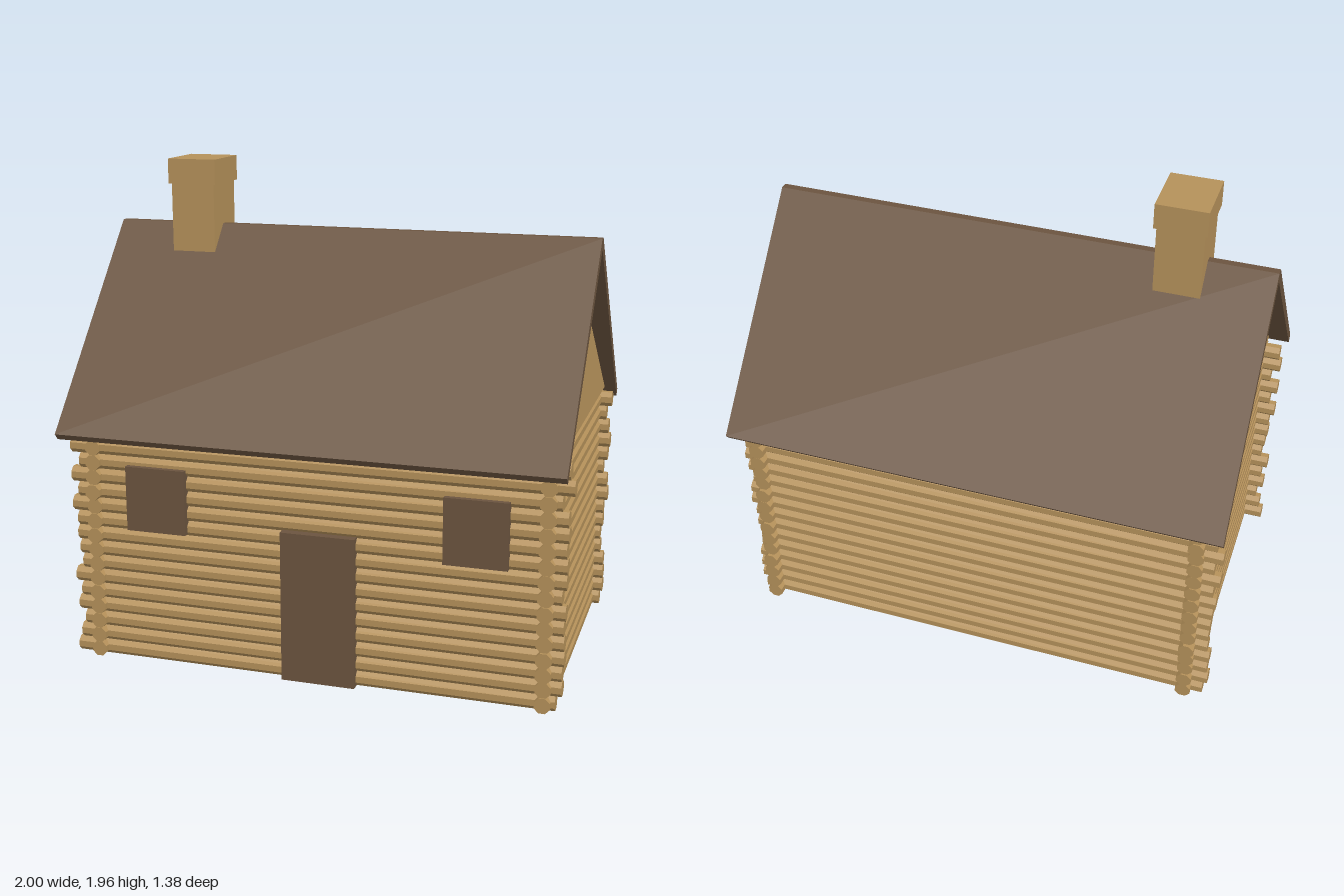
import * as THREE from 'three';
import { ConvexGeometry } from 'three/addons/geometries/ConvexGeometry.js';

const wood = new THREE.MeshStandardMaterial({ color: 0xb5915a, flatShading: true });
const dark = new THREE.MeshStandardMaterial({ color: 0x6b543f, flatShading: true });

function add(parent, name, geometry, material) {
  const mesh = new THREE.Mesh(geometry, material);
  mesh.name = name;
  parent.add(mesh);
  return mesh;
}

// box given by its limits on each axis
function block(parent, name, [x0, x1], [y0, y1], [z0, z1], material) {
  const mesh = add(parent, name, new THREE.BoxGeometry(x1 - x0, y1 - y0, z1 - z0), material);
  mesh.position.set((x0 + x1) / 2, (y0 + y1) / 2, (z0 + z1) / 2);
  return mesh;
}

// small seeded generator for uneven log ends
let seed = 7;
function rand() {
  seed = (seed * 16807) % 2147483647;
  return seed / 2147483647;
}

// eight-sided log along x or z, reaching from a to b
function log(parent, axis, a, b, y, offset) {
  const geometry = new THREE.CylinderGeometry(0.0325, 0.0325, b - a, 8);
  geometry.rotateY(Math.PI / 8);
  const mid = (a + b) / 2;
  if (axis === 'x') geometry.rotateZ(Math.PI / 2).translate(mid, y, offset);
  else geometry.rotateX(Math.PI / 2).translate(offset, y, mid);
  add(parent, 'log', geometry, wood);
}

export function createModel() {
  seed = 7;
  const cabin = new THREE.Group();
  cabin.name = 'logCabin';

  // four hollow walls of stacked logs crossing at the corners
  const walls = new THREE.Group();
  walls.name = 'logWalls';
  cabin.add(walls);
  const rows = 16;
  for (let i = 0; i < rows; i++) {
    const y = 0.03 + i * 0.06;
    for (const z of [0.56, -0.545]) {
      const right = i === 14 && z > 0 ? 1 : 0.955 + rand() * 0.03;
      log(walls, 'x', -0.955 - rand() * 0.04, right, y, z);
    }
    for (const x of [0.91, -0.89]) {
      log(walls, 'z', -0.59 - rand() * 0.025, 0.6 + rand() * 0.015, y, x);
    }
  }

  // attic with gable ends that flare out at the foot
  const levels = [[0.965, 0.93, 0.61], [1.15, 0.87, 0.45], [1.645, 0.87, 0]];
  const points = [];
  for (const [y, x, z] of levels) {
    for (const sx of [-1, 1]) {
      for (const sz of z ? [-1, 1] : [1]) points.push(new THREE.Vector3(0.01 + sx * x, y, sz * z));
    }
  }
  add(cabin, 'gables', new ConvexGeometry(points), wood);

  // pitched roof, a chevron drawn out along x
  const chevron = new THREE.Shape();
  chevron.moveTo(0.015, 1.69);
  chevron.lineTo(-0.015, 1.69);
  chevron.lineTo(-0.69, 0.94);
  chevron.lineTo(-0.668, 0.915);
  chevron.lineTo(0, 1.645);
  chevron.lineTo(0.668, 0.915);
  chevron.lineTo(0.69, 0.94);
  chevron.closePath();
  const roof = new THREE.ExtrudeGeometry(chevron, { depth: 1.985, bevelEnabled: false });
  roof.rotateY(Math.PI / 2).translate(-1, 0, 0);
  add(cabin, 'roof', roof, dark);

  // chimney with a wider cap
  block(cabin, 'chimneyShaft', [-0.735, -0.555], [1.4, 1.86], [-0.11, 0.11], wood);
  block(cabin, 'chimneyCap', [-0.745, -0.545], [1.855, 1.955], [-0.12, 0.12], wood);

  // door and shutters on the front
  block(cabin, 'door', [-0.11, 0.185], [0, 0.605], [0.56, 0.612], dark);
  block(cabin, 'rightWindow', [-0.745, -0.5], [0.55, 0.81], [0.56, 0.612], dark);
  block(cabin, 'leftWindow', [0.525, 0.77], [0.545, 0.805], [0.56, 0.612], dark);

  return cabin;
}
